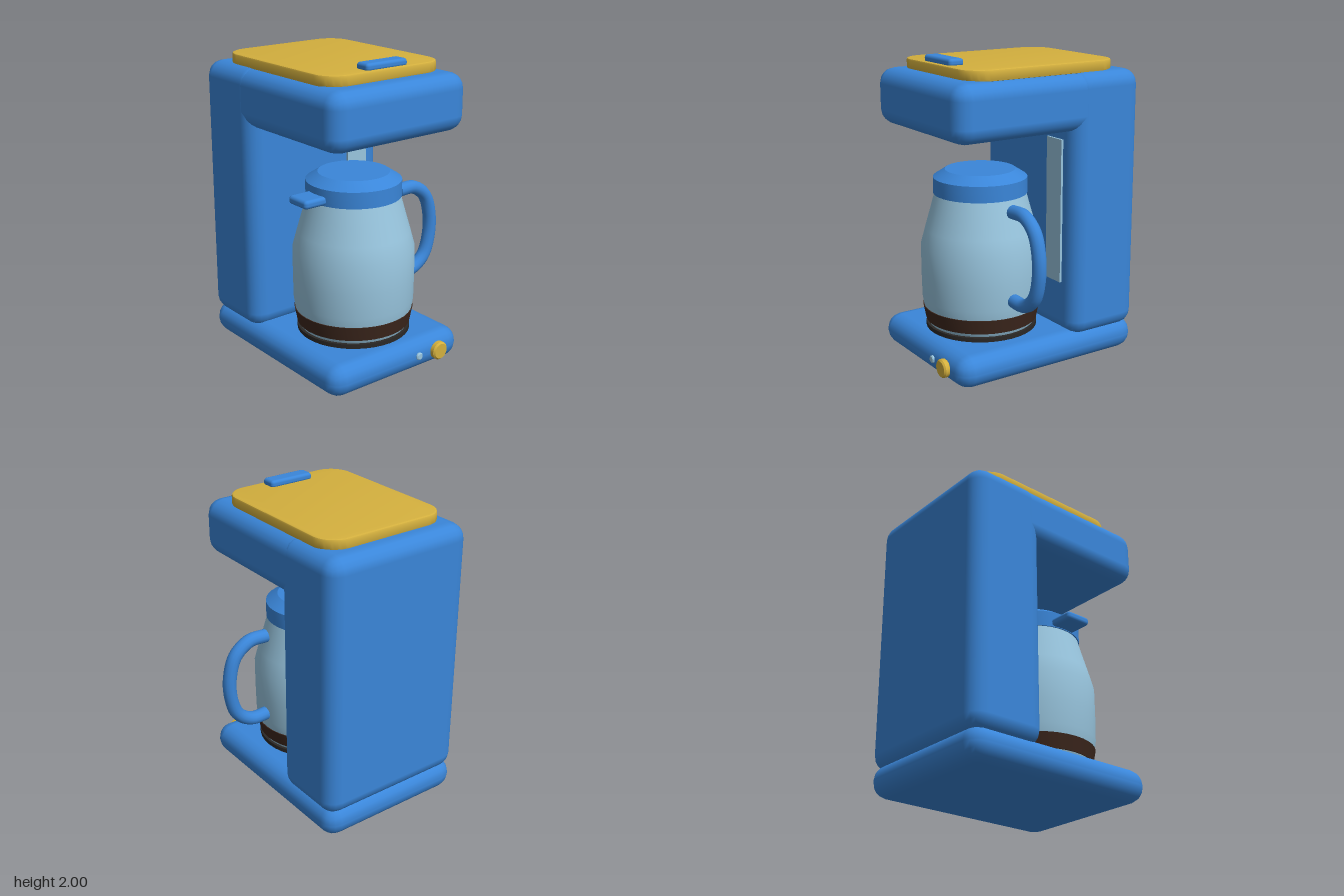
import * as THREE from 'three';
import { toCreasedNormals } from 'three/addons/utils/BufferGeometryUtils.js';
import { RoundedBoxGeometry } from 'three/addons/geometries/RoundedBoxGeometry.js';

const material = (name, color) => {
  const m = new THREE.MeshStandardMaterial({ color });
  m.name = name;
  return m;
};

export function createModel() {
  const blue = material('blue plastic', 0x3a86d9);
  const gold = material('golden yellow', 0xd4b03e);
  const glass = material('pale blue glass', 0x98c5de);
  const coffeeBrown = material('coffee brown', 0x3d271d);
  const dark = material('dark plate', 0x2b2826);

  const model = new THREE.Group();
  model.name = 'coffeeMaker';
  const CX = -0.095; // centre line of the machine
  const POT_Z = 0.195;

  const add = (name, geometry, mat, parent = model) => {
    const mesh = new THREE.Mesh(geometry, mat);
    mesh.name = name;
    parent.add(mesh);
    return mesh;
  };

  // Rounded block given by its extents
  const block = (name, [x0, x1], [y0, y1], [z0, z1], r, mat, parent) => {
    const mesh = add(name, new RoundedBoxGeometry(x1 - x0, y1 - y0, z1 - z0, 2, r), mat, parent);
    mesh.position.set((x0 + x1) / 2, (y0 + y1) / 2, (z0 + z1) / 2);
    return mesh;
  };

  // Turned part from [radius, height] pairs, bottom to top
  const turned = (name, profile, mat, parent, sides = 40) => {
    const points = profile.map(([r, y]) => new THREE.Vector2(r, y));
    return add(name, toCreasedNormals(new THREE.LatheGeometry(points, sides), 0.5), mat, parent);
  };

  // Body
  block('base', [-0.62, 0.43], [0, 0.21], [-0.70, 0.665], 0.1, blue);
  block('column', [-0.62, 0.43], [0.17, 1.9], [-0.70, -0.175], 0.1, blue);
  block('brewHead', [-0.618, 0.428], [1.53, 1.896], [-0.69, 0.665], 0.1, blue);

  // Reservoir lid with softened edges
  const bevel = 0.012, hw = 0.4475 - bevel, hd = 0.5525 - bevel, r = 0.14;
  const outline = new THREE.Shape();
  outline.moveTo(hw, -hd + r);
  outline.absarc(hw - r, hd - r, r, 0, Math.PI / 2);
  outline.absarc(-hw + r, hd - r, r, Math.PI / 2, Math.PI);
  outline.absarc(-hw + r, -hd + r, r, Math.PI, Math.PI * 1.5);
  outline.absarc(hw - r, -hd + r, r, Math.PI * 1.5, Math.PI * 2);
  const lidGeometry = new THREE.ExtrudeGeometry(outline, {
    depth: 0.07 - 2 * bevel, bevelEnabled: true, bevelSize: bevel,
    bevelThickness: bevel, bevelSegments: 2, curveSegments: 8,
  });
  lidGeometry.rotateX(-Math.PI / 2);
  const lid = add('reservoirLid', toCreasedNormals(lidGeometry, 0.6), gold);
  lid.position.set(-0.0925, 1.89 + bevel, -0.0225);
  block('lidTab', [-0.25, 0.065], [1.95, 2.0], [0.4, 0.505], 0.02, blue);

  // Water gauge on the column front
  const gauge = add('waterGauge', new THREE.BoxGeometry(0.155, 0.945, 0.03), glass);
  gauge.position.set(0.2225, 1.0025, -0.175);

  // Warming plate
  turned('warmingPlate', [[0, 0.2], [0.367, 0.2], [0.367, 0.238], [0, 0.238]], dark)
    .position.set(CX, 0, POT_Z);

  // Carafe
  const carafe = new THREE.Group();
  carafe.name = 'carafe';
  carafe.position.set(CX, 0, POT_Z);
  model.add(carafe);
  turned('glassBody', [[0, 0.24], [0.35, 0.24], [0.362, 0.265], [0.38, 0.36], [0.389, 0.42],
    [0.392, 0.58], [0.392, 0.77], [0.362, 0.88], [0.322, 1.02], [0.295, 1.12], [0, 1.12]], glass, carafe);
  turned('coffee', [[0.35, 0.265], [0.368, 0.265], [0.386, 0.36], [0.37, 0.36]], coffeeBrown, carafe);
  turned('carafeLid', [[0, 1.11], [0.305, 1.11], [0.305, 1.215], [0.228, 1.265], [0, 1.265]], blue, carafe);
  block('spout', [-0.445, -0.25], [1.115, 1.17], [-0.09, 0.09], 0.022, blue, carafe);

  // Carafe handle with closed ends
  const path = new THREE.CatmullRomCurve3([
    [0.28, 1.057], [0.41, 1.055], [0.515, 0.98], [0.563, 0.84],
    [0.563, 0.69], [0.515, 0.55], [0.41, 0.477], [0.28, 0.475],
  ].map(([x, y]) => new THREE.Vector3(x - CX, y, 0)));
  const handle = new THREE.Group();
  handle.name = 'carafeHandle';
  carafe.add(handle);
  add('handleGrip', new THREE.TubeGeometry(path, 40, 0.045, 14), blue, handle);
  for (const t of [0, 1]) {
    const cap = add('handleEnd', new THREE.CircleGeometry(0.045, 14), blue, handle);
    cap.position.copy(path.getPoint(t));
    cap.rotation.y = -Math.PI / 2;
  }

  // Controls on the base front
  const control = (name, x, radius, depth, mat) => {
    const b = Math.min(0.01, depth / 2);
    const mesh = turned(name, [[0, -0.01], [radius - b, -0.01], [radius, b - 0.01],
      [radius, depth - b], [radius - b, depth], [0, depth]], mat, model, 24);
    mesh.rotation.x = Math.PI / 2;
    mesh.position.set(x, 0.108, 0.664);
  };
  control('knob', 0.222, 0.06, 0.036, gold);
  control('indicatorLight', 0.065, 0.025, 0.012, glass);

  return model;
}
